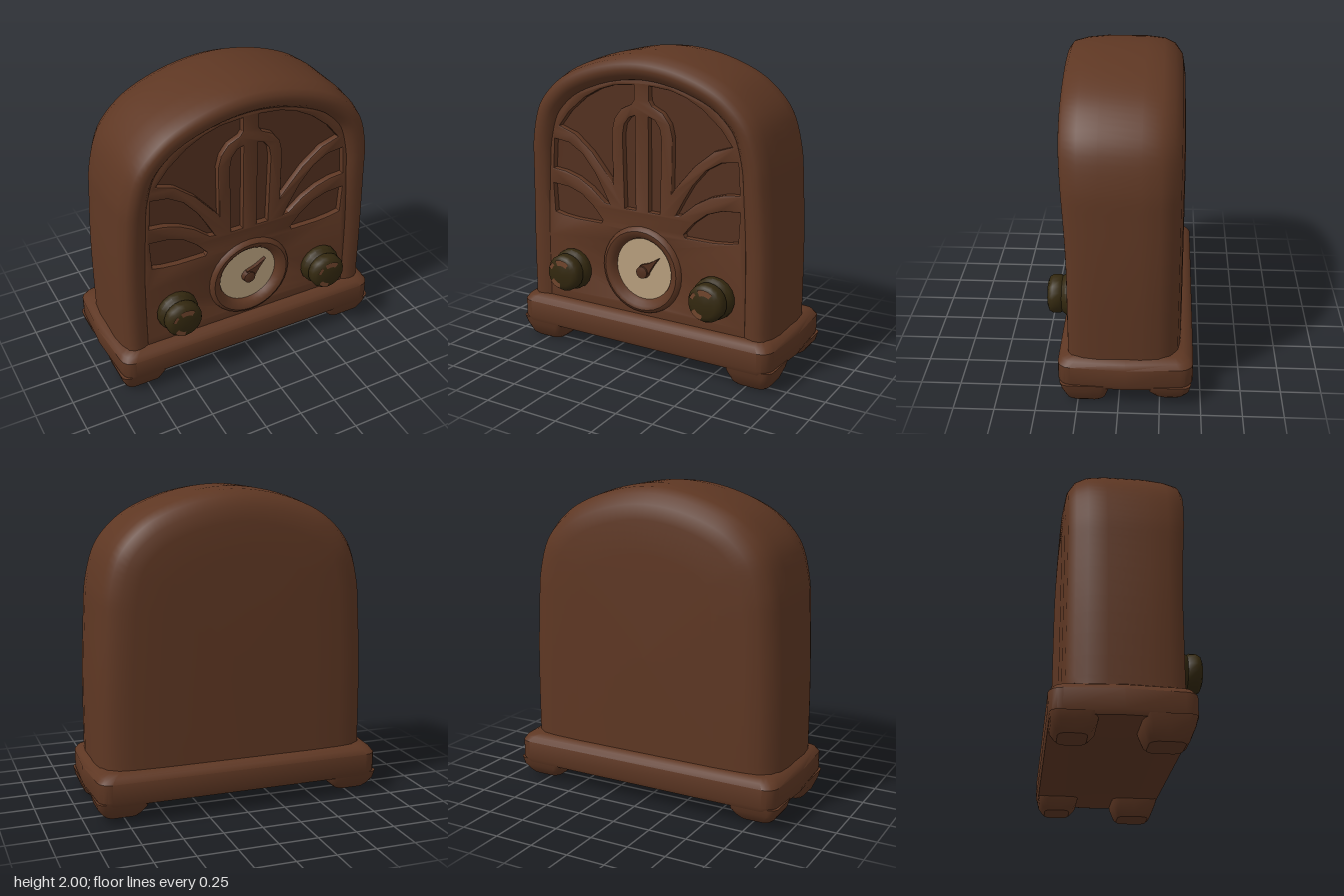
import * as THREE from 'three';
import { toCreasedNormals } from 'three/addons/utils/BufferGeometryUtils.js';

const V2 = (x, y) => new THREE.Vector2(x, y);
const paint = (name, color) => {
  const m = new THREE.MeshStandardMaterial({ color });
  m.name = name;
  return m;
};

// Skin between closed rings of [x, y, z] points, capped at both ends.
function loft(rings, crease) {
  const n = rings[0].length, pos = rings.flat(2), index = [];
  for (let r = 0; r < rings.length - 1; r++) {
    for (let i = 0; i < n; i++) {
      const a = r * n + i, b = r * n + (i + 1) % n;
      index.push(a, b, b + n, a, b + n, a + n);
    }
  }
  const last = (rings.length - 1) * n, c0 = rings.length * n;
  for (const ring of [rings[0], rings[rings.length - 1]]) {
    for (let k = 0; k < 3; k++) {
      const v = ring.map(p => p[k]);
      pos.push((Math.min(...v) + Math.max(...v)) / 2);
    }
  }
  for (let i = 0; i < n; i++) {
    const j = (i + 1) % n;
    index.push(c0, j, i, c0 + 1, last + i, last + j);
  }
  const g = new THREE.BufferGeometry();
  g.setAttribute('position', new THREE.Float32BufferAttribute(pos, 3));
  g.setIndex(index);
  return toCreasedNormals(g, crease);
}

// Arched cabinet outline, counterclockwise from the bottom of the +x side.
const side = [[0.89, 0.28], [0.887, 0.8], [0.868, 1.2], [0.848, 1.42], [0.78, 1.64],
  [0.64, 1.8], [0.47, 1.9], [0.24, 1.973]];
const arch = new THREE.SplineCurve([
  ...side.map(p => V2(...p)), V2(0, 2), ...side.slice().reverse().map(([x, y]) => V2(-x, y))]);
const STEPS = 72;
function outline(inset) {
  const pts = [];
  for (let i = 0; i <= STEPS; i++) {
    const p = arch.getPoint(i / STEPS), t = arch.getTangent(i / STEPS);
    const y = i === 0 || i === STEPS ? 0.28 : p.y - t.x * -inset;
    pts.push(V2(p.x - t.y * inset, y));
  }
  return pts;
}

// Rounded rectangle ring at height y, with slightly bowed ends.
function rectRing(y, x0, x1, z0, z1, radius, bow = 0) {
  const cx = (x0 + x1) / 2, cz = (z0 + z1) / 2, hx = (x1 - x0) / 2, hz = (z1 - z0) / 2;
  const pts = [];
  [[1, -1], [-1, -1], [-1, 1], [1, 1]].forEach(([sx, sz], q) => {
    for (let i = 0; i <= 4; i++) {
      const a = (q + i / 4) * Math.PI / 2;
      pts.push([cx + sx * (hx - bow - radius) + Math.cos(a) * radius, y,
        cz + sz * (hz - radius) - Math.sin(a) * radius]);
    }
    if (q === 1) pts.push([cx - hx, y, cz]);
  });
  pts.push([cx + hx, y, cz]);
  return pts;
}

// Lathe turned so that its axis points forward.
function turned(profile, segments) {
  const g = new THREE.LatheGeometry(profile.map(p => V2(...p)), segments);
  return toCreasedNormals(g.rotateX(Math.PI / 2), 0.7);
}

export function createModel() {
  const wood = paint('wood', 0x5e3723);
  const cloth = paint('speaker cloth', 0x53301f);
  const darkKnob = paint('dark knob', 0x33280f);
  const worn = paint('worn patch', 0x70452c);
  const cream = paint('dial cream', 0xb89f7d);
  const hand = paint('pointer brown', 0x52301f);

  const model = new THREE.Group();
  model.name = 'tabletopRadio';
  const add = (name, geometry, material, x = 0, y = 0, z = 0, parent = model) => {
    const m = new THREE.Mesh(geometry, material);
    m.name = name;
    m.position.set(x, y, z);
    parent.add(m);
    return m;
  };

  // Cabinet: rounded back, straight sides, raised rim leaning forward at the top
  const rings = [[-0.378, 0.4, 0], [-0.37, 0.2, 0], [-0.355, 0.11, 0], [-0.31, 0.045, 0],
    [-0.24, 0.012, 0], [-0.13, 0, 0], [0.12, 0, 0], [0.22, 0.012, 0.5], [0.285, 0.035, 1],
    [0.307, 0.065, 1], [0.312, 0.1, 1], [0.305, 0.135, 0.85], [0.29, 0.165, 0.3], [0.25, 0.175, 0]];
  add('cabinet', loft(rings.map(([z, inset, lean]) => outline(inset).map(p => [
    p.x, p.y, z + lean * 0.042 * THREE.MathUtils.smoothstep(p.y, 0.8, 1.8)])), 0.8), wood);

  // Front panel with the sunburst grille openings
  const openings = [
    [[0.055, 1.8], [0.2, 1.785], [0.31, 1.75], [0.42, 1.69], [0.54, 1.59], [0.62, 1.49],
      [0.5, 1.45], [0.37, 1.345], [0.28, 1.24], [0.215, 1.16], [0.22, 1.5], [0.2, 1.58],
      [0.15, 1.645], [0.075, 1.68], [0.055, 1.71]],
    [[0.66, 1.4], [0.55, 1.385], [0.45, 1.325], [0.36, 1.22], [0.3, 1.12], [0.245, 1.02],
      [0.28, 1.025], [0.38, 1.11], [0.48, 1.165], [0.58, 1.195], [0.675, 1.205]],
    [[0.68, 1.1], [0.56, 1.09], [0.46, 1.055], [0.37, 0.985], [0.3, 0.905], [0.31, 0.885],
      [0.5, 0.885], [0.6, 0.895], [0.67, 0.91]],
    [[0.05, 1.01], [0.128, 1.01], [0.138, 1.48], [0.125, 1.55], [0.09, 1.595], [0.05, 1.61]],
  ];
  const face = new THREE.Shape(outline(0.16));
  for (const s of [1, -1]) {
    for (const o of openings) face.holes.push(new THREE.Path(o.map(([x, y]) => V2(s * x, y))));
  }
  face.holes.push(new THREE.Path().absarc(0, 0.62, 0.23, 0, Math.PI * 2));
  const bevel = 0.01;
  const panel = new THREE.ExtrudeGeometry(face, { depth: 0.03, bevelSize: bevel,
    bevelThickness: bevel, bevelOffset: -bevel, bevelSegments: 2, curveSegments: 20 });
  add('grillePanel', toCreasedNormals(panel, 0.5), wood, 0, 0, 0.255);
  add('speakerCloth', new THREE.ShapeGeometry(new THREE.Shape(outline(0.19))), cloth, 0, 0, 0.256);

  // Tuning dial: bezel, face and pointer
  const dial = new THREE.Group();
  dial.name = 'tuningDial';
  dial.position.set(0, 0.62, 0.26);
  model.add(dial);
  add('dialBezel', turned([[0.29, 0.03], [0.282, 0.05], [0.262, 0.062], [0.238, 0.058],
    [0.212, 0.035], [0.198, 0]], 32), wood, 0, 0, 0, dial);
  add('dialFace', new THREE.CircleGeometry(0.215, 32), cream, 0, 0, 0.012, dial);
  const needle = new THREE.Shape([V2(-0.03, -0.03), V2(0.04, -0.015), V2(0.08, 0.05),
    V2(0.12, 0.105), V2(0.045, 0.06), V2(-0.015, 0.04)]);
  add('dialPointer', new THREE.ExtrudeGeometry(needle, { depth: 0.025, bevelEnabled: false }),
    hand, 0, -0.01, 0.012, dial);
  add('pointerHub', turned([[0.045, 0], [0.04, 0.035], [0, 0.045]], 12), hand, 0, -0.015, 0.012, dial);

  // Control knobs with worn patches on their caps
  for (const s of [1, -1]) {
    const knob = new THREE.Group();
    knob.name = s > 0 ? 'leftKnob' : 'rightKnob';
    knob.position.set(s * 0.525, 0.54, 0.285);
    model.add(knob);
    add('knobBody', turned([[0.128, 0], [0.137, 0.02], [0.135, 0.05], [0.122, 0.065], [0.113, 0.078],
      [0.122, 0.092], [0.121, 0.135], [0.108, 0.157], [0.08, 0.168], [0, 0.17]], 18), darkKnob, 0, 0, 0, knob);
    [[0.9, 1.1, 0.06], [2.3, 0.5, 0.075], [3.7, 0.9, 0.065]].forEach(([start, length, inner]) => {
      add('wornPatch', new THREE.RingGeometry(inner, 0.098, 8, 1, start, length), worn, 0, 0, 0.171, knob);
    });
  }

  // Plinth with softened edges
  const plinth = [[0.11, 0.05], [0.12, 0.012], [0.15, 0], [0.265, 0], [0.295, 0.02], [0.315, 0.06]];
  add('plinth', loft(plinth.map(([y, i]) =>
    rectRing(y, -0.945 + i, 0.945 - i, -0.45 + i, 0.37 - i, 0.08, 0.02)), 0.6), wood);

  // Tapered corner feet
  for (const s of [1, -1]) {
    for (const [name, y0, z0, z1] of [['frontFoot', 0, 0.05, 0.36], ['backFoot', 0.03, -0.44, -0.17]]) {
      const foot = [[y0, 0.06], [y0 + 0.02, 0.04], [0.09, 0.012], [0.14, 0]].map(([y, i]) =>
        rectRing(y, s * 0.77 - 0.165 + i, s * 0.77 + 0.165 - i, z0 + i * 0.8, z1 - i, 0.05));
      add(name, loft(foot, 0.6), wood);
    }
  }
  return model;
}
